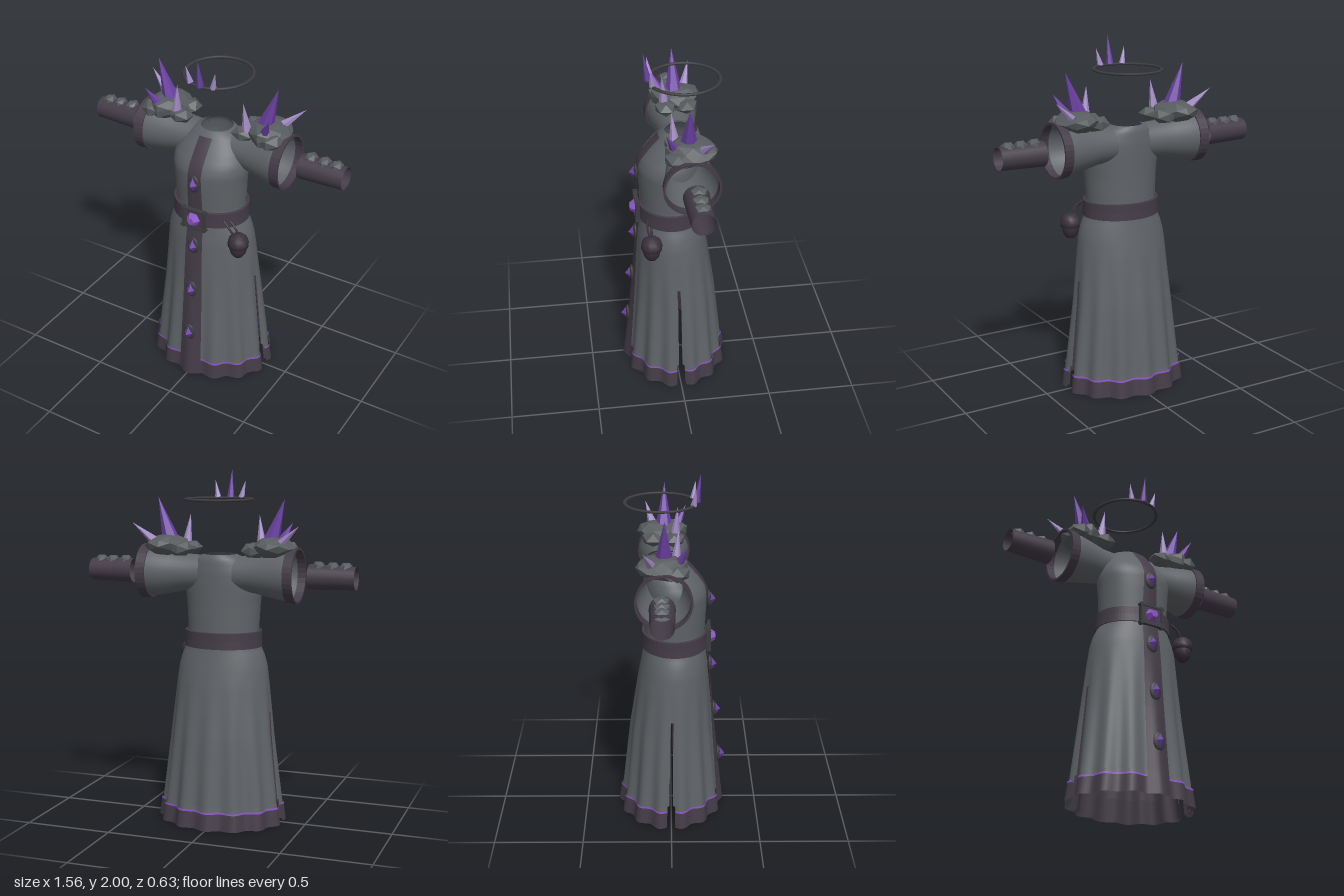
import * as THREE from 'three';
import { mergeGeometries, mergeVertices } from 'three/addons/utils/BufferGeometryUtils.js';

const mat = (name, color, side = THREE.FrontSide) => {
  const m = new THREE.MeshStandardMaterial({ color, side });
  m.name = name;
  return m;
};

// Body cross-sections: height, half width, front z, back z
const ROWS = [
  [0, 0.355, 0.285, -0.29], [0.12, 0.34, 0.272, -0.272], [0.5, 0.298, 0.238, -0.235],
  [0.8, 0.27, 0.216, -0.192], [0.9, 0.258, 0.208, -0.174], [0.96, 0.24, 0.2, -0.163],
  [1.02, 0.212, 0.193, -0.153], [1.1, 0.204, 0.19, -0.15], [1.25, 0.212, 0.199, -0.15],
  [1.33, 0.221, 0.199, -0.151], [1.38, 0.216, 0.178, -0.152], [1.44, 0.19, 0.135, -0.152],
  [1.5, 0.145, 0.083, -0.146], [1.525, 0.115, 0.062, -0.138], [1.535, 0.09, 0.05, -0.13],
];

function section(y) {
  let i = 0;
  while (i < ROWS.length - 2 && y > ROWS[i + 1][0]) i++;
  const a = ROWS[i], b = ROWS[i + 1];
  const t = THREE.MathUtils.clamp((y - a[0]) / (b[0] - a[0]), 0, 1);
  return a.map((v, k) => v + (b[k] - v) * t);
}

// Point on the robe; angle 0 is the left side, PI/2 the front; folds deepen to the hem
function body(a, y, off = 0) {
  const [, w, f, b] = section(y);
  const o = off - 0.014 * Math.max(0, 1 - y / 0.85) * Math.cos(14 * a);
  return [(w + o) * Math.cos(a), y, (f + b) / 2 + ((f - b) / 2 + o) * Math.sin(a)];
}

// Surface through fn(u, row value), facing outwards
function grid(fn, nu, rows) {
  const pos = [], idx = [];
  rows.forEach((r) => { for (let i = 0; i <= nu; i++) pos.push(...fn(i / nu, r)); });
  for (let j = 0; j < rows.length - 1; j++) {
    for (let i = 0; i < nu; i++) {
      const a = j * (nu + 1) + i, c = a + nu + 1;
      idx.push(a, c, a + 1, a + 1, c, c + 1);
    }
  }
  const g = new THREE.BufferGeometry();
  g.setAttribute('position', new THREE.Float32BufferAttribute(pos, 3));
  g.setIndex(idx);
  return g;
}

function smooth(...parts) {
  const g = mergeVertices(mergeGeometries(parts), 1e-4);
  g.computeVertexNormals();
  return g;
}

function flat(geo) {
  const g = geo.index ? geo.toNonIndexed() : geo;
  g.computeVertexNormals();
  return g;
}

const span = (a, b, n) => Array.from({ length: n + 1 }, (_, i) => a + (b - a) * i / n);

// Front and back panels, parted by a slit down each side
function panels(rows, off) {
  const half = (start) => grid((u, y) => {
    const gap = y >= 0.64 ? 0 : (y < 0.13 ? 0.085 : 0.04);
    return body(start + gap + u * (Math.PI - 2 * gap), y, off);
  }, 70, rows);
  return smooth(half(0), half(Math.PI));
}

const ring = (rows, off) =>
  smooth(grid((u, y) => body(u * Math.PI * 2, y, off), 72, rows));

export function createModel() {
  const D = THREE.DoubleSide;
  const cloth = mat('greyCloth', 0x5f6367, D);
  const trim = mat('darkTrim', 0x443c47, D);
  const stone = mat('stone', 0x585c5e);
  const leather = mat('pouchLeather', 0x3a303b);
  const iron = mat('darkIron', 0x3c3c40);
  const purple = mat('purpleCrystal', 0x6a40a2);
  const pale = mat('paleCrystal', 0xa48dc6);
  const bright = mat('brightGem', 0x8a55c4);

  const model = new THREE.Group();
  const add = (name, geo, m, parent = model) => {
    const mesh = new THREE.Mesh(geo, m);
    mesh.name = name;
    parent.add(mesh);
    return mesh;
  };

  // Pointed crystal from base to tip
  const spike = (name, base, tip, r, m, parent = model) => {
    const a = new THREE.Vector3(...base), d = new THREE.Vector3(...tip).sub(a);
    const g = new THREE.ConeGeometry(r, d.length(), 6);
    g.translate(0, d.length() / 2, 0);
    const s = add(name, flat(g), m, parent);
    s.position.copy(a);
    s.quaternion.setFromUnitVectors(new THREE.Vector3(0, 1, 0), d.normalize());
  };

  // Faceted stone with corners shifted by a position hash
  const rock = (name, at, size, seed, detail, parent) => {
    const g = new THREE.IcosahedronGeometry(1, detail);
    const p = g.attributes.position;
    for (let i = 0; i < p.count; i++) {
      const v = new THREE.Vector3().fromBufferAttribute(p, i);
      const h = Math.sin(Math.round(v.x * 50) * 12.9 + Math.round(v.y * 50) * 78.2
        + Math.round(v.z * 50) * 37.7 + seed) * 437.5;
      v.multiplyScalar(0.86 + 0.24 * (h - Math.floor(h)));
      p.setXYZ(i, v.x * size[0], v.y * size[1], v.z * size[2]);
    }
    add(name, flat(g), stone, parent).position.set(...at);
  };

  // Robe
  add('torso', ring([...span(1.02, 1.5, 24), 1.51, 1.525, 1.535], 0), cloth);
  const skirtRows = [...span(0.09, 0.125, 2), 0.131, ...span(0.15, 0.638, 12), 0.64, ...span(0.66, 1.03, 16)];
  add('skirt', panels(skirtRows, 0), cloth);
  add('skirtLining', panels([0.01, 0.125, 0.131, ...span(0.16, 0.638, 8), 0.64, ...span(0.68, 0.98, 6)], -0.007), trim);
  add('hemBand', panels(span(0, 0.1, 3), 0.007), trim);
  add('hemPiping', panels([0.094, 0.105], 0.009), bright);

  // Front panel
  const stripWidth = (y) => (y > 1 ? 0.037 + (1.51 - y) * 0.018 : 0.048 + (1 - y) * 0.024);
  add('frontPanel', smooth(grid((u, y) => {
    const x = (1 - 2 * u) * stripWidth(y);
    return body(Math.acos(x / section(y)[1]), y, 0.011);
  }, 8, span(0, 1.51, 60))), trim);

  // Panel gems in oval settings
  for (const y of [1.28, 0.88, 0.59, 0.295]) {
    const z = body(Math.PI / 2, y, 0.012)[2];
    const setting = add('gemSetting', new THREE.SphereGeometry(1, 16, 10), iron);
    setting.scale.set(0.037, 0.053, 0.014);
    setting.position.set(0, y, z);
    const gem = flat(new THREE.OctahedronGeometry(1).scale(0.03, 0.046, 0.034));
    add('panelGem', gem, purple).position.set(0, y, z + 0.006);
  }

  // Belt with rounded-in edges
  const beltPts = [[1.012, 0.004], [1.01, 0.016], [1.055, 0.014], [1.1, 0.014], [1.102, 0]];
  add('belt', flat(grid((u, r) => {
    const p = body(u * Math.PI * 2, 1.06, r[1]);
    return [p[0], r[0], p[2]];
  }, 72, beltPts)), trim);

  // Buckle
  const buckle = new THREE.Group();
  buckle.name = 'buckle';
  buckle.position.set(0, 1.055, 0.212);
  model.add(buckle);
  add('bucklePlate', new THREE.BoxGeometry(0.13, 0.11, 0.014), trim, buckle);
  for (const s of [-1, 1]) {
    add('buckleBar', new THREE.BoxGeometry(0.16, 0.012, 0.026), iron, buckle).position.y = s * 0.055;
    add('bucklePost', new THREE.BoxGeometry(0.012, 0.135, 0.026), iron, buckle).position.x = s * 0.066;
  }
  const stud = new THREE.CylinderGeometry(0.022, 0.044, 0.034, 6).rotateX(Math.PI / 2).rotateZ(Math.PI / 6);
  add('buckleGem', flat(stud), bright, buckle).position.z = 0.022;

  // Pouch hung from the belt
  const pouch = new THREE.Group();
  pouch.name = 'pouch';
  pouch.position.set(0.252, 0.855, 0.155);
  model.add(pouch);
  const lathe = (pts, n) => new THREE.LatheGeometry(pts.map((p) => new THREE.Vector2(...p)), n);
  add('pouchBag', lathe([[0, 0], [0.025, 0.006], [0.043, 0.03], [0.05, 0.06], [0.048, 0.09]], 14), leather, pouch);
  add('pouchFlap', lathe([[0.046, 0.068], [0.058, 0.074], [0.06, 0.095], [0.052, 0.125], [0.03, 0.145], [0, 0.15]], 14), leather, pouch);
  for (const s of [0, 1]) {
    const path = new THREE.CatmullRomCurve3([
      new THREE.Vector3(0.165 + s * 0.03, 1.065, 0.165 - s * 0.02),
      new THREE.Vector3(0.2 + s * 0.03, 1.035, 0.172 - s * 0.02),
      new THREE.Vector3(0.235 + s * 0.025, 0.985, 0.16 - s * 0.01),
    ]);
    add('pouchStrap', new THREE.TubeGeometry(path, 8, 0.006, 6), leather);
  }

  // Arm and shoulder pieces, built on the left and mirrored
  const arm = new THREE.Group();
  arm.name = 'leftArm';
  const sleeveTube = (pts, n = 32) => lathe(pts, n).rotateZ(-Math.PI / 2).translate(0, 1.427, -0.04);
  add('sleeve', sleeveTube([[0.098, 0.1], [0.104, 0.2], [0.122, 0.28], [0.138, 0.36], [0.144, 0.41], [0.145, 0.44]]), cloth, arm);
  add('sleeveCuff', flat(sleeveTube([[0.144, 0.402], [0.151, 0.402], [0.155, 0.456], [0.143, 0.456], [0.143, 0.41]])), trim, arm);
  add('bracer', sleeveTube([[0.07, 0.52], [0.063, 0.78]], 20).translate(0, -0.002, -0.008), trim, arm);
  [0.57, 0.65, 0.722].forEach((x, i) =>
    rock('bracerStone', [x, 1.487, -0.05], [0.036, 0.025, 0.05], i * 3, 0, arm));

  // Shoulder stones
  rock('shoulderStone', [0.315, 1.575, -0.05], [0.125, 0.066, 0.145], 2, 1, arm);
  rock('frontShoulderStone', [0.2, 1.563, 0.02], [0.075, 0.042, 0.065], 5, 0, arm);
  rock('backShoulderStone', [0.215, 1.56, -0.1], [0.075, 0.045, 0.07], 8, 0, arm);
  rock('outerShoulderStone', [0.37, 1.565, 0.03], [0.07, 0.045, 0.07], 11, 0, arm);

  // Shoulder crystals
  spike('mainSpike', [0.295, 1.6, -0.04], [0.372, 1.845, -0.036], 0.05, purple, arm);
  spike('outerSpike', [0.355, 1.59, -0.1], [0.487, 1.707, -0.147], 0.03, pale, arm);
  spike('innerSpike', [0.222, 1.585, 0.025], [0.205, 1.752, 0.04], 0.028, pale, arm);
  spike('frontSpike', [0.325, 1.59, 0.03], [0.385, 1.71, 0.087], 0.032, purple, arm);
  model.add(arm);
  const rightArm = arm.clone();
  rightArm.name = 'rightArm';
  rightArm.scale.x = -1;
  model.add(rightArm);

  // Floating circlet with crystals
  const halo = new THREE.TorusGeometry(0.185, 0.01, 8, 64).rotateX(Math.PI / 2).scale(1, 0.75, 1.05);
  add('circlet', halo, iron).position.set(0, 1.838, -0.057);
  spike('circletSpike', [0, 1.84, 0.138], [0, 2, 0.162], 0.021, purple);
  for (const s of [-1, 1]) {
    spike('circletSideSpike', [s * 0.07, 1.84, 0.122], [s * 0.09, 1.937, 0.135], 0.018, pale);
  }
  return model;
}
